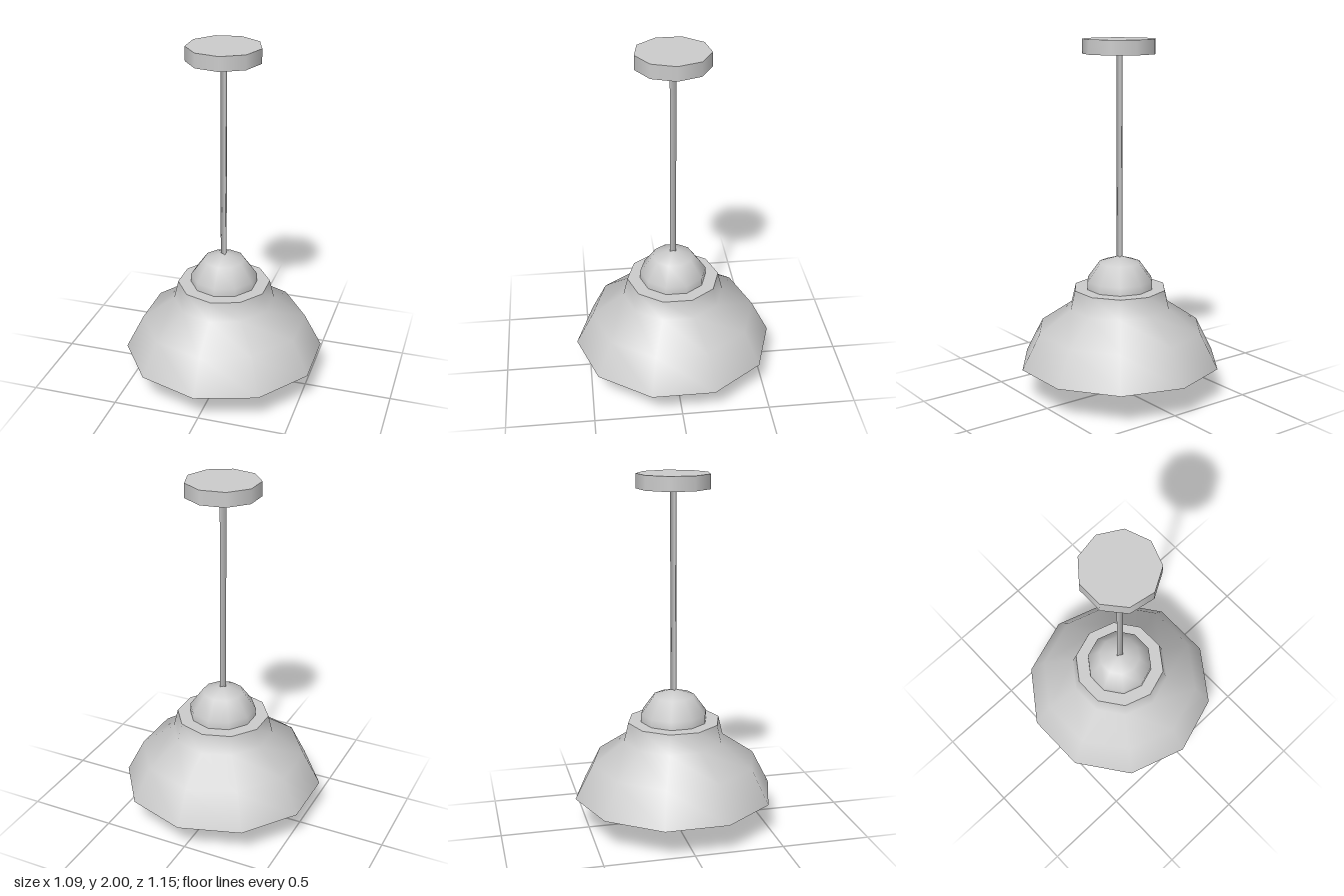
import * as THREE from 'three';

export function createModel() {
  const lamp = new THREE.Group();
  lamp.name = 'pendantLamp';
  const solid = new THREE.MeshStandardMaterial({ color: 0xcccccc });
  const thin = new THREE.MeshStandardMaterial({ color: 0xcccccc, side: THREE.DoubleSide });

  function add(name, geometry, y, material = solid) {
    const mesh = new THREE.Mesh(geometry, material);
    mesh.name = name;
    mesh.position.y = y;
    lamp.add(mesh);
    return mesh;
  }
  // Ten-sided ball with a corner facing the front
  const ball = (radius) => new THREE.SphereGeometry(radius, 10, 5, Math.PI / 2);
  // Ten-sided turned surface from [radius, height] pairs
  const turned = (pairs) => new THREE.LatheGeometry(pairs.map(([r, y]) => new THREE.Vector2(r, y)), 10);

  // Nine-sided ceiling plate
  add('ceilingPlate', new THREE.CylinderGeometry(0.205, 0.205, 0.08, 9, 1, false, Math.PI / 2), 1.96);

  // Three-sided rod from the plate down into the dome
  add('rod', new THREE.CylinderGeometry(0.02, 0.02, 1.18, 3, 1, false, -Math.PI / 2), 1.345);

  // Dome on top of the shade, and the bulb hanging below it
  add('dome', ball(0.2), 0.595);
  add('bulb', ball(0.174), 0.174);

  // Outer shade, from the rim up to the collar
  add('shade', turned([[0.574, 0.18], [0.473, 0.377], [0.29, 0.503], [0.264, 0.611]]), 0, thin);

  // Flat lid closing the collar
  const lid = add('shadeLid', new THREE.CircleGeometry(0.264, 10, Math.PI / 2), 0.611);
  lid.rotation.x = -Math.PI / 2;

  // Underside of the shade: narrow rim and a shallow hollow above the bulb
  add('shadeUnderside', turned([[0, 0.39], [0.54, 0.18], [0.574, 0.18]]), 0, thin);

  return lamp;
}
